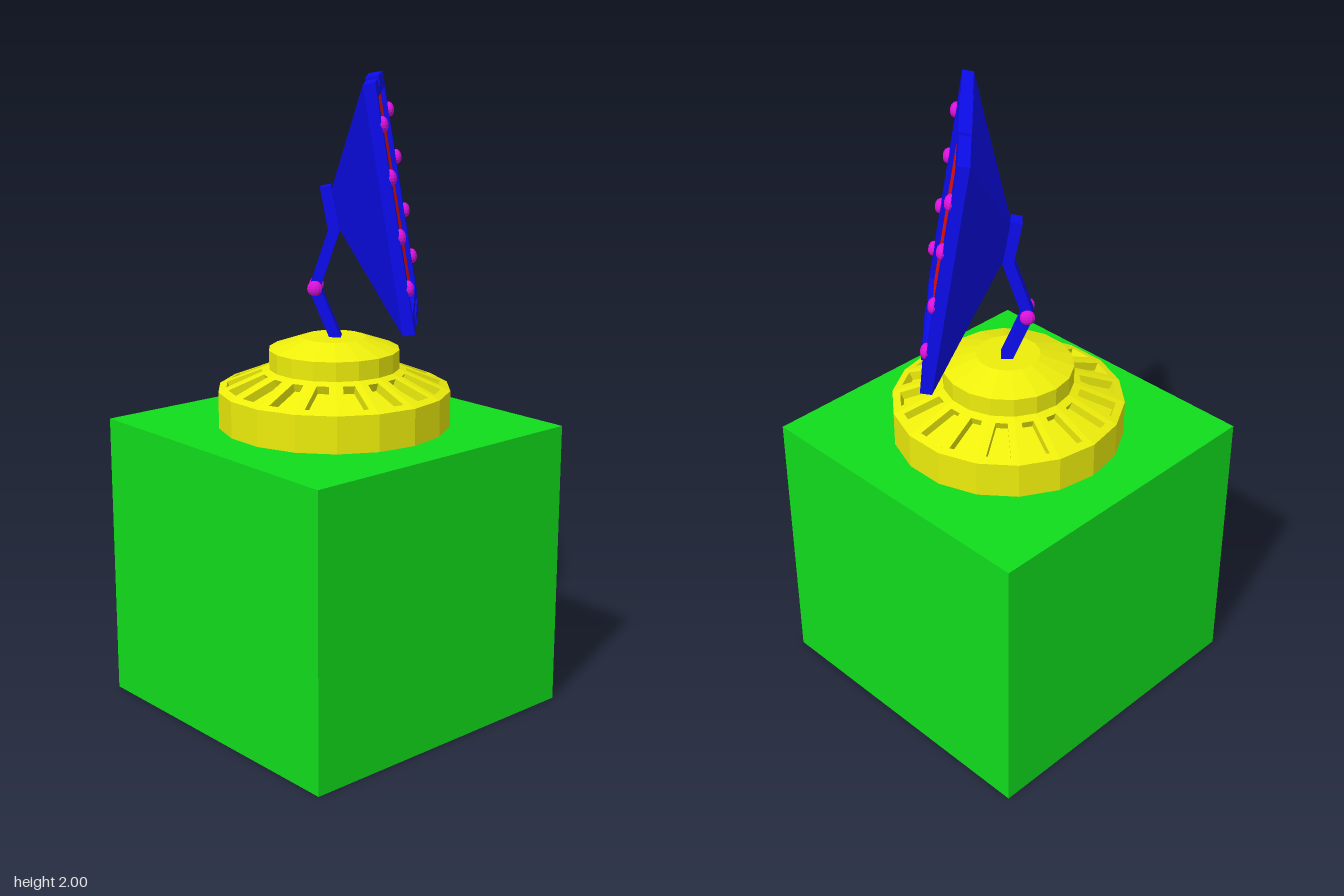
import * as THREE from 'three';

const paint = (color) => new THREE.MeshStandardMaterial({ color, flatShading: true });

function add(parent, name, geometry, material, x = 0, y = 0, z = 0) {
  const mesh = new THREE.Mesh(geometry, material);
  mesh.name = name;
  mesh.position.set(x, y, z);
  parent.add(mesh);
  return mesh;
}

// Closed outline from corner pairs
const outline = (pts, Type = THREE.Shape) => new Type(pts.map(([x, y]) => new THREE.Vector2(x, y)));
const rect = (w, h) => [[-w / 2, -h / 2], [w / 2, -h / 2], [w / 2, h / 2], [-w / 2, h / 2]];

export function createModel() {
  const green = paint(0x11dd1c);
  const yellow = paint(0xeeee0c);
  const blue = paint(0x0c0cee);
  const red = paint(0xee0f0f);
  const magenta = paint(0xdd11dd);
  const model = new THREE.Group();
  model.name = 'panelTurret';

  add(model, 'baseBlock', new THREE.BoxGeometry(1.01, 0.92, 1.01), green, 0, 0.46, 0);

  // Eighteen-sided turntable; the sunken cone is the floor of the vents
  const SIDES = 18;
  const profile = [[0.365, 0.92], [0.365, 1.035], [0.354, 1.009], [0.194, 1.074],
    [0.205, 1.1], [0.205, 1.16], [0.1, 1.197], [0, 1.197]];
  add(model, 'turntable', new THREE.LatheGeometry(
    profile.map(([r, y]) => new THREE.Vector2(r, y)), SIDES, Math.PI / 2), yellow);

  // Sloping facets, each with a tapered vent cut through
  const ring = new THREE.Group();
  ring.name = 'ventRing';
  model.add(ring);
  const facet = outline([[-0.0634, 0], [0.0634, 0], [0.0356, 0.1705], [-0.0356, 0.1705]]);
  facet.holes.push(outline([[-0.037, 0.026], [-0.018, 0.145], [0.018, 0.145], [0.037, 0.026]], THREE.Path));
  const facetGeo = new THREE.ExtrudeGeometry(facet, { depth: 0.03, bevelEnabled: false });
  facetGeo.translate(0, 0, -0.03);
  facetGeo.rotateX(0.391 - Math.PI / 2);
  facetGeo.translate(0, 1.035, 0.3595);
  for (let i = 0; i < SIDES; i++) {
    add(ring, 'ventFacet', facetGeo, yellow).rotation.y = ((i + 0.5) / SIDES) * 2 * Math.PI + Math.PI / 2;
  }

  // Everything above turns to face a rear corner (local +z is the panel side)
  const head = new THREE.Group();
  head.name = 'head';
  head.rotation.y = Math.PI * 0.75;
  head.position.set(-0.007, 0, -0.007);
  model.add(head);

  // Jointed arm: bars between (y, z) points
  const path = [[1.17, 0.015], [1.35, -0.06], [1.53, 0.0], [1.66, -0.025]];
  for (let i = 0; i < path.length - 1; i++) {
    const [y0, z0] = path[i], [y1, z1] = path[i + 1];
    const bar = add(head, 'armBar', new THREE.BoxGeometry(0.052, Math.hypot(y1 - y0, z1 - z0) + 0.008, 0.034),
      blue, 0, (y0 + y1) / 2, (z0 + z1) / 2);
    bar.rotation.x = Math.atan2(z1 - z0, y1 - y0);
  }
  const knob = new THREE.SphereGeometry(0.024, 10, 8);
  for (const s of [-1, 1]) {
    add(head, 'armKnob', knob, magenta, s * 0.038, 1.352, -0.058).scale.x = 0.7;
  }

  // Tilted panel; local z = 0 is the back plane of the frame
  const panel = new THREE.Group();
  panel.name = 'panel';
  panel.position.set(0, 1.625, 0.16);
  panel.rotation.x = -0.165;
  head.add(panel);

  const W = 0.642, H = 0.73, T = 0.035;
  const frame = outline(rect(W, H));
  frame.holes.push(outline(rect(0.525, 0.64).reverse(), THREE.Path));
  add(panel, 'frame', new THREE.ExtrudeGeometry(frame, { depth: T, bevelEnabled: false }), blue);
  add(panel, 'screen', new THREE.BoxGeometry(0.525, 0.64, 0.02), red, 0, 0, 0.01);

  // Tapered back shell narrowing to the arm mount
  const shell = new THREE.BoxGeometry(W, H, 0.158);
  const pos = shell.attributes.position;
  for (let i = 0; i < pos.count; i++) {
    if (pos.getZ(i) < 0) pos.setXY(i, Math.sign(pos.getX(i)) * 0.025, Math.sign(pos.getY(i)) * 0.06);
  }
  add(panel, 'backShell', shell, blue, 0, 0, -0.079);

  // Edge tabs above and below, and knobs down both sides
  for (const s of [-1, 1]) {
    add(panel, 'edgeTab', new THREE.BoxGeometry(0.26, 0.03, T + 0.004), blue, 0, s * (H / 2 - 0.006), T / 2 + 0.002);
    for (const y of [0.245, 0.093, -0.08, -0.232]) {
      add(panel, 'frameKnob', knob, magenta, s * 0.3, y, T + 0.002).scale.z = 0.7;
    }
  }
  return model;
}
